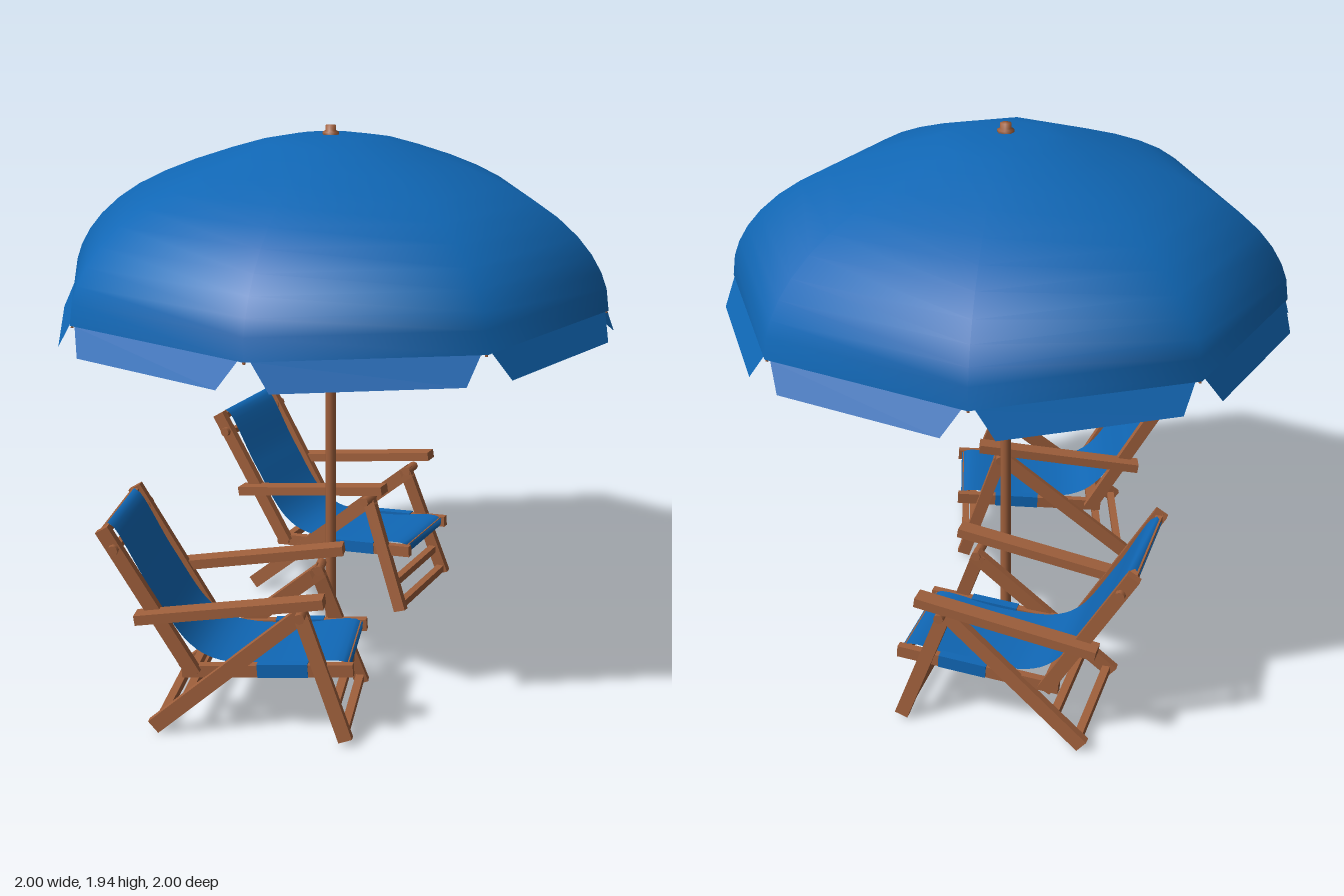
import * as THREE from 'three';

const wood = new THREE.MeshStandardMaterial({ color: 0xa0603c });
wood.name = 'wood';
const fabric = new THREE.MeshStandardMaterial({ color: 0x1067b5, side: THREE.DoubleSide });
fabric.name = 'blue fabric';

const V = (x, y, z) => new THREE.Vector3(x, y, z);

function add(parent, name, geometry, material) {
  const mesh = new THREE.Mesh(geometry, material);
  mesh.name = name;
  parent.add(mesh);
  return mesh;
}

// Square timber from a to b: th is its depth in the side plane, w its sideways width
function beam(parent, name, a, b, th, w) {
  const mesh = add(parent, name, new THREE.BoxGeometry(a.distanceTo(b), th, w), wood);
  const dir = b.clone().sub(a).normalize();
  const up = V(0, 0, 1).cross(dir).normalize();
  const side = dir.clone().cross(up);
  mesh.quaternion.setFromRotationMatrix(new THREE.Matrix4().makeBasis(dir, up, side));
  mesh.position.copy(a).add(b).multiplyScalar(0.5);
}

// Bar running across the chair
function crossbar(parent, name, x, y, half, size) {
  add(parent, name, new THREE.BoxGeometry(size, size, half * 2), wood).position.set(x, y, 0);
}

function dowel(parent, name, a, b, r) {
  const mesh = add(parent, name, new THREE.CylinderGeometry(r, r, a.distanceTo(b), 8), wood);
  mesh.position.copy(a).add(b).multiplyScalar(0.5);
  mesh.quaternion.setFromUnitVectors(V(0, 1, 0), b.clone().sub(a).normalize());
}

// Folding sling chair facing +x
function createChair(name) {
  const chair = new THREE.Group();
  chair.name = name;
  for (const s of [1, -1]) {
    beam(chair, 'backPost', V(-0.56, 0.715, s * 0.212), V(-0.265, 0.215, s * 0.205), 0.048, 0.03);
    beam(chair, 'rearLeg', V(-0.405, 0.022, s * 0.222), V(0.105, 0.45, s * 0.185), 0.052, 0.028);
    beam(chair, 'frontLeg', V(0.085, 0.455, s * 0.185), V(0.245, 0.016, s * 0.222), 0.048, 0.028);
    beam(chair, 'seatRail', V(-0.31, 0.215, s * 0.185), V(0.265, 0.255, s * 0.185), 0.042, 0.028);
    beam(chair, 'armrest', V(-0.45, 0.418, s * 0.235), V(0.175, 0.512, s * 0.235), 0.034, 0.06);
    dowel(chair, 'legPivot', V(0.095, 0.45, s * 0.165), V(0.095, 0.45, s * 0.25), 0.018);
    dowel(chair, 'postPeg', V(-0.52, 0.65, s * 0.19), V(-0.52, 0.65, s * 0.245), 0.018);
    // Fabric sleeve around the middle of the rail
    const sleeve = add(chair, 'seatSleeve', new THREE.BoxGeometry(0.17, 0.046, 0.034), fabric);
    sleeve.position.set(0.03, 0.24, s * 0.185);
    sleeve.rotation.z = 0.07;
  }
  crossbar(chair, 'topBar', -0.555, 0.7, 0.21, 0.024);
  crossbar(chair, 'backBar', -0.525, 0.635, 0.21, 0.022);
  crossbar(chair, 'seatRearBar', -0.27, 0.222, 0.205, 0.028);
  crossbar(chair, 'seatFrontBar', 0.235, 0.258, 0.185, 0.026);
  crossbar(chair, 'rearLowRung', -0.385, 0.035, 0.22, 0.028);
  crossbar(chair, 'rearHighRung', -0.3, 0.11, 0.215, 0.028);
  crossbar(chair, 'frontLowRung', 0.238, 0.035, 0.22, 0.028);
  crossbar(chair, 'frontHighRung', 0.205, 0.118, 0.215, 0.028);

  // Sling cloth: a plane bent along the side profile
  const path = new THREE.CatmullRomCurve3([
    V(-0.57, 0.7, 0), V(-0.55, 0.722, 0), V(-0.42, 0.505, 0), V(-0.29, 0.31, 0),
    V(-0.2, 0.258, 0), V(0, 0.25, 0), V(0.22, 0.278, 0), V(0.252, 0.268, 0), V(0.25, 0.24, 0),
  ], false, 'centripetal');
  const n = 40;
  const cloth = new THREE.PlaneGeometry(0.345, 1, 1, n);
  const pos = cloth.attributes.position;
  for (let i = 0; i < pos.count; i++) {
    const p = path.getPointAt(Math.floor(i / 2) / n);
    pos.setXYZ(i, p.x, p.y, pos.getX(i));
  }
  cloth.computeVertexNormals();
  // Reverse the winding if the seat normal does not point up
  if (cloth.attributes.normal.getY(60) < 0) {
    cloth.index.array.reverse();
    cloth.computeVertexNormals();
  }
  add(chair, 'sling', cloth, fabric);
  return chair;
}

const SIDES = 8;
const corner = (r, y, k) => {
  const a = (k * Math.PI * 2) / SIDES;
  return V(r * Math.sin(a), y, r * Math.cos(a));
};

function meshFrom(points, index) {
  const g = new THREE.BufferGeometry().setFromPoints(points);
  g.setIndex(index);
  g.computeVertexNormals();
  return g;
}

function createUmbrella() {
  const umbrella = new THREE.Group();
  umbrella.name = 'umbrella';

  // Eight-sided dome, radius and height from crown to rim
  const profile = [
    [0.15, 1.9], [0.24, 1.885], [0.36, 1.85], [0.5, 1.803], [0.62, 1.755], [0.72, 1.705], [0.8, 1.652],
    [0.87, 1.59], [0.92, 1.53], [0.955, 1.47], [0.975, 1.415], [0.985, 1.34],
  ];
  const points = [V(0, 1.908, 0)];
  const index = [];
  profile.forEach(([r, y], i) => {
    for (let k = 0; k < SIDES; k++) {
      points.push(corner(r, y, k));
      const a = 1 + i * SIDES + k, b = 1 + i * SIDES + ((k + 1) % SIDES);
      if (i === 0) index.push(0, a, b);
      else index.push(a - SIDES, a, b, a - SIDES, b, b - SIDES);
    }
  });
  add(umbrella, 'canopy', meshFrom(points, index), fabric);

  // Valance flaps, notched at every corner
  const flaps = [];
  const flapIndex = [];
  for (let k = 0; k < SIDES; k++) {
    const o = flaps.length;
    for (const [r, y, t] of [[0.985, 1.34, 0.03], [1.033, 1.25, 0.117]]) {
      const a = corner(r, y, k), b = corner(r, y, k + 1);
      flaps.push(a.clone().lerp(b, t), a.clone().lerp(b, 1 - t));
    }
    flapIndex.push(o, o + 2, o + 3, o, o + 3, o + 1);
  }
  add(umbrella, 'valance', meshFrom(flaps, flapIndex), fabric);

  // Ribs under the dome and stretchers from the hub
  for (let k = 0; k < SIDES; k++) {
    const curve = new THREE.CatmullRomCurve3([
      corner(0.02, 1.89, k), ...profile.map(([r, y]) => corner(r - 0.008, y - 0.008, k)),
    ]);
    add(umbrella, 'rib', new THREE.TubeGeometry(curve, 24, 0.005, 5), wood);
    dowel(umbrella, 'stretcher', corner(0.02, 1.63, k), corner(0.72, 1.695, k), 0.005);
  }
  dowel(umbrella, 'hub', V(0, 1.605, 0), V(0, 1.65, 0), 0.032);
  dowel(umbrella, 'pole', V(0, 0, 0), V(0, 1.91, 0), 0.02);

  // Finial
  const finial = [[0, 1.895], [0.03, 1.895], [0.03, 1.915], [0.019, 1.92], [0.019, 1.938], [0, 1.94]];
  const knob = new THREE.LatheGeometry(finial.map(([x, y]) => new THREE.Vector2(x, y)), 8);
  add(umbrella, 'finial', knob, wood);
  return umbrella;
}

export function createModel() {
  const model = new THREE.Group();
  model.name = 'beachSet';
  model.add(createUmbrella());
  const placements = [['leftChair', 0.6, 7.5], ['rightChair', -0.557, -10]];
  for (const [name, z, yaw] of placements) {
    const chair = createChair(name);
    chair.position.z = z;
    chair.rotation.y = THREE.MathUtils.degToRad(yaw);
    model.add(chair);
  }
  return model;
}
